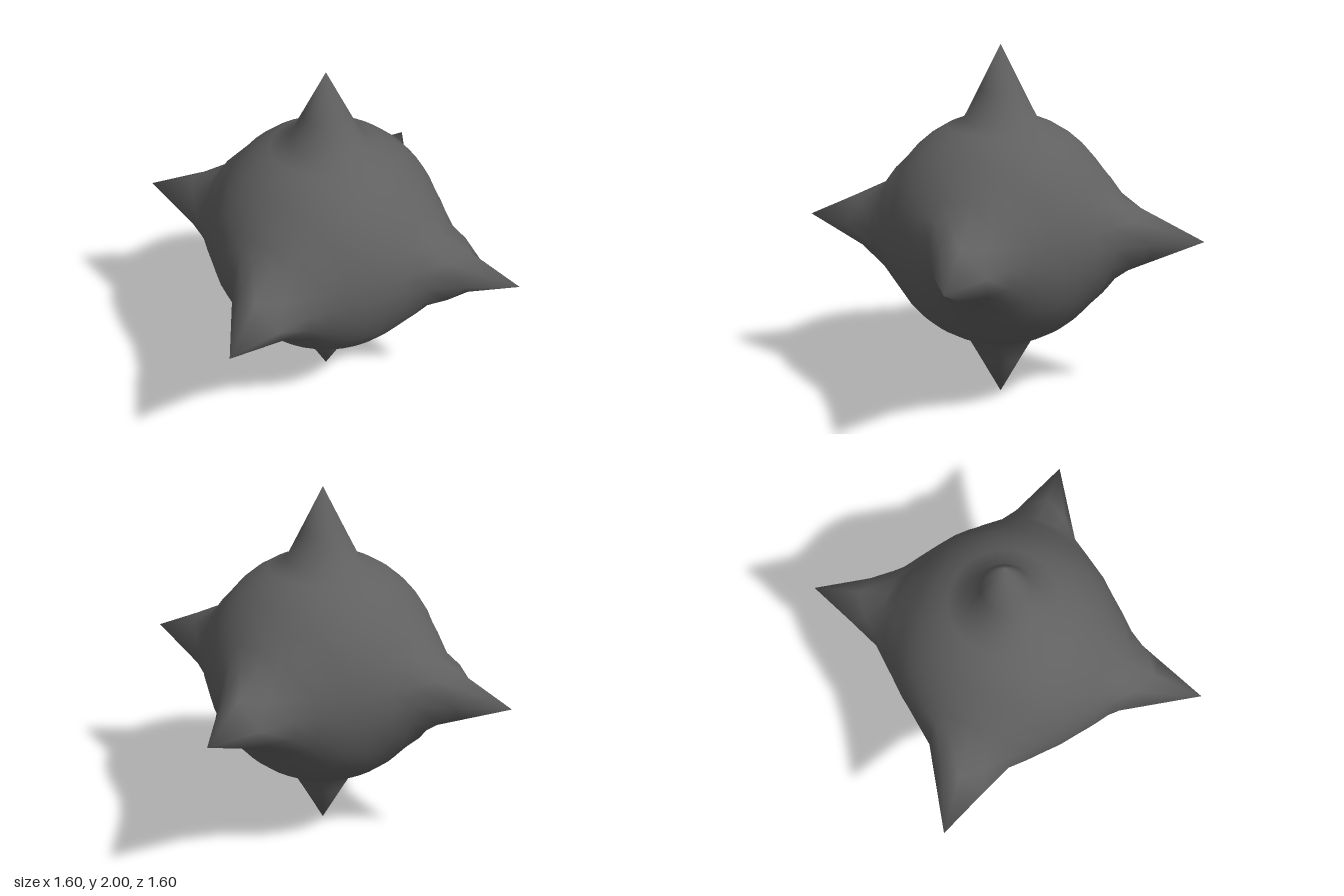
import * as THREE from 'three';
import { mergeVertices } from 'three/addons/utils/BufferGeometryUtils.js';

const R = 0.647;       // ball radius
const CENTRE = 0.985;  // ball centre height

// Distance from the centre, at angle t off a spike's axis, to a spike outline
// given as [along axis, across axis] points running from the tip outwards.
function outlineRadius(points, t) {
  const c = Math.cos(t), s = Math.sin(t);
  for (let i = 0; i < points.length - 1; i++) {
    const [a0, p0] = points[i], [a1, p1] = points[i + 1];
    if (t > Math.atan2(p1, a1) + 1e-6) continue;
    const da = a1 - a0, dp = p1 - p0;
    return (a0 * dp - p0 * da) / (c * dp - s * da);
  }
  return R;
}

// Polar spikes are plain cones; side spikes flare, wider sideways than upright
const topOutline = [[1.015, 0], [0.613, 0.2]];
const bottomOutline = [[0.985, 0], [0.613, 0.2]];
const sideways = [[1.117, 0], [0.68, 0.221], [0.575, 0.332], [0.456, 0.456]];
const upright = [[1.117, 0], [0.665, 0.216], [0.6, 0.306], [0.523, 0.38]];

function surfaceRadius(d) {
  const pole = outlineRadius(d.y > 0 ? topOutline : bottomOutline,
    Math.acos(Math.min(1, Math.abs(d.y))));
  // nearest diagonal axis, by symmetry
  const along = Math.min(1, (Math.abs(d.x) + Math.abs(d.z)) * Math.SQRT1_2);
  const t = Math.acos(along);
  const v = t > 1e-5 ? Math.min(1, (d.y / Math.sin(t)) ** 2) : 0;
  const side = THREE.MathUtils.lerp(outlineRadius(sideways, t), outlineRadius(upright, t), v);
  return Math.max(R, pole, side);
}

export function createModel() {
  const group = new THREE.Group();
  group.name = 'spikedBall';

  // Unit sphere in 9 degree steps, its vertices pulled out into six spikes
  let geometry = new THREE.SphereGeometry(1, 40, 20);
  geometry.deleteAttribute('uv');
  geometry.deleteAttribute('normal');
  geometry = mergeVertices(geometry, 1e-5);
  const pos = geometry.attributes.position;
  const d = new THREE.Vector3();
  for (let i = 0; i < pos.count; i++) {
    d.fromBufferAttribute(pos, i).normalize();
    d.multiplyScalar(surfaceRadius(d));
    pos.setXYZ(i, d.x, d.y, d.z);
  }
  geometry.computeVertexNormals();

  const body = new THREE.Mesh(geometry, new THREE.MeshStandardMaterial({ color: 0x606060 }));
  body.name = 'ballWithSpikes';
  body.position.y = CENTRE;
  body.rotation.y = 0.014; // slight twist of the side spikes
  group.add(body);
  return group;
}
